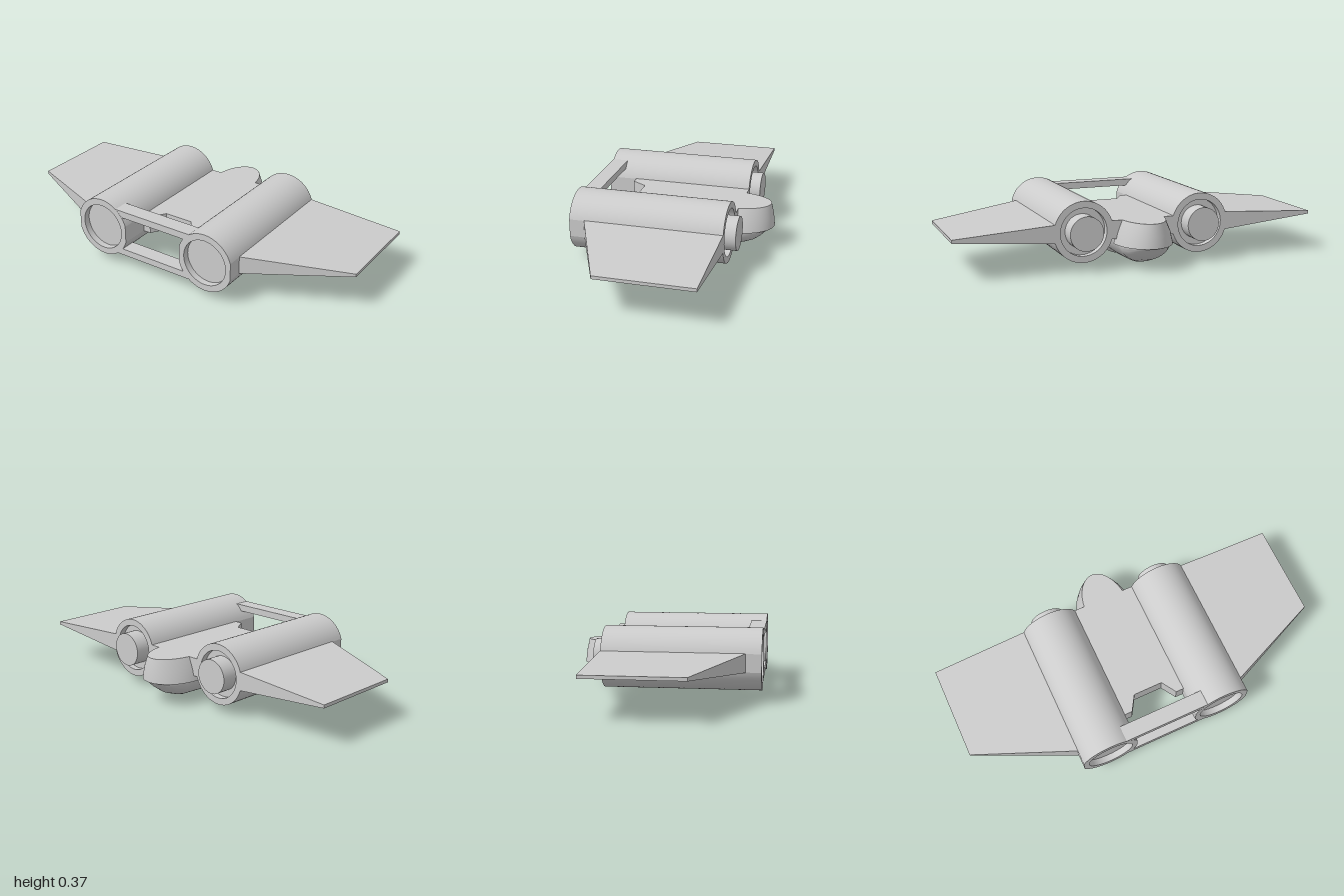
import * as THREE from 'three';
import { toCreasedNormals } from 'three/addons/utils/BufferGeometryUtils.js';

const grey = new THREE.MeshStandardMaterial({ color: 0xcccccc });

function mesh(name, geometry, parent) {
  const m = new THREE.Mesh(geometry, grey);
  m.name = name;
  parent.add(m);
  return m;
}

// Skin closed convex rings of [x, y, z] points, with a cap on each end
function loft(rings, crease = 0.5) {
  const pos = [];
  const n = rings[0].length;
  const tri = (...p) => p.forEach((q) => pos.push(...q));
  for (let i = 0; i + 1 < rings.length; i++) {
    for (let j = 0; j < n; j++) {
      const k = (j + 1) % n;
      const [a, b, c, d] = [rings[i][j], rings[i][k], rings[i + 1][k], rings[i + 1][j]];
      tri(a, b, c);
      tri(a, c, d);
    }
  }
  const last = rings[rings.length - 1];
  for (let j = 1; j + 1 < n; j++) {
    tri(rings[0][0], rings[0][j + 1], rings[0][j]);
    tri(last[0], last[j], last[j + 1]);
  }
  // Signed volume tells whether the corners must be reversed
  let volume = 0;
  const v = [0, 1, 2].map(() => new THREE.Vector3());
  for (let i = 0; i < pos.length; i += 9) {
    v.forEach((p, j) => p.fromArray(pos, i + j * 3));
    volume += v[0].dot(v[1].clone().cross(v[2]));
  }
  if (volume < 0) {
    for (let i = 0; i < pos.length; i += 9) {
      for (let j = 0; j < 3; j++) [pos[i + 3 + j], pos[i + 6 + j]] = [pos[i + 6 + j], pos[i + 3 + j]];
    }
  }
  const g = new THREE.BufferGeometry();
  g.setAttribute('position', new THREE.Float32BufferAttribute(pos, 3));
  return toCreasedNormals(g, crease);
}

const range = (n, f) => Array.from({ length: n }, (_, i) => f(i));

export function createModel() {
  const model = new THREE.Group();
  model.name = 'aircraft';
  const axisY = 0.206, zFront = 0.495, zBack = -0.317;

  for (const s of [1, -1]) {
    const engine = new THREE.Group();
    engine.name = s > 0 ? 'leftEngine' : 'rightEngine';
    engine.position.set(s * 0.325, axisY, 0);
    model.add(engine);

    // Round casing with flattened sides, open at both ends
    const outline = new THREE.Shape(range(64, (i) => {
      const a = (i / 64) * Math.PI * 2;
      return new THREE.Vector2(THREE.MathUtils.clamp(0.16 * Math.cos(a), -0.153, 0.153), 0.16 * Math.sin(a));
    }));
    outline.holes.push(new THREE.Path().absarc(0, 0, 0.125, 0, Math.PI * 2, true));
    const casing = new THREE.ExtrudeGeometry(outline, { depth: zFront - zBack, bevelEnabled: false, curveSegments: 32 });
    casing.translate(0, 0, zBack);
    mesh('engineCasing', toCreasedNormals(casing, 0.25), engine);

    // Core closing the casing, recessed at the intake and the exhaust
    const core = new THREE.CylinderGeometry(0.1255, 0.1255, 0.742, 48).rotateX(Math.PI / 2);
    mesh('engineCore', core, engine).position.z = (zFront + zBack) / 2;

    const nozzle = new THREE.CylinderGeometry(0.09, 0.09, 0.1, 40).rotateX(Math.PI / 2);
    mesh('exhaustNozzle', nozzle, engine).position.z = -0.317;

    // Tapered wing from root to tip
    const section = (x, y0, y1, z) => [[s * x, y0, zBack], [s * x, y1, zBack], [s * x, y1, z], [s * x, y0, z]];
    mesh(s > 0 ? 'leftWing' : 'rightWing',
      loft([section(0.477, 0.158, 0.254, 0.415), section(1, 0.205, 0.222, 0.187)], 0.02), model);
  }

  // Bars joining the two intakes
  for (const [name, y0, y1] of [['upperBar', 0.3, 0.337], ['lowerBar', 0.077, 0.112]]) {
    mesh(name, new THREE.BoxGeometry(0.47, y1 - y0, 0.085), model).position.set(0, (y0 + y1) / 2, 0.452);
  }

  // Centre deck with a notch in its front edge
  const half = [[0.173, zBack], [0.173, 0.34], [0.13, 0.34], [0.08, 0.26]];
  const deckOutline = [...half, ...half.map(([x, z]) => [-x, z]).reverse()];
  const deck = new THREE.ExtrudeGeometry(
    new THREE.Shape(deckOutline.map(([x, z]) => new THREE.Vector2(x, -z))),
    { depth: 0.097, bevelEnabled: false });
  deck.rotateX(-Math.PI / 2).translate(0, 0.157, 0);
  mesh('centreDeck', deck, model);

  // Rounded tail, narrower at the top
  const tailRing = (y, w, z0, length) => range(33, (i) => {
    const a = (i / 32) * Math.PI;
    return [w * Math.cos(a), y, z0 - length * Math.sin(a)];
  });
  mesh('tail', loft([
    tailRing(0.128, 0.156, -0.295, 0.2),
    tailRing(0.19, 0.143, -0.285, 0.204),
    tailRing(0.254, 0.119, -0.27, 0.205),
  ]), model);

  // Belly hull: half-elliptic sections as [z, half width, top, bottom]
  const hullSections = [
    [0.23, 0.1, 0.16, 0.145], [0.03, 0.157, 0.16, 0], [-0.008, 0.157, 0.16, 0],
    [-0.022, 0.145, 0.16, 0.018], [-0.15, 0.145, 0.16, 0.014], [-0.31, 0.145, 0.16, 0.021],
    [-0.34, 0.138, 0.135, 0.03], [-0.39, 0.122, 0.135, 0.048], [-0.43, 0.1, 0.135, 0.077],
    [-0.46, 0.07, 0.135, 0.108], [-0.478, 0.035, 0.135, 0.126],
  ];
  mesh('bellyHull', loft(hullSections.map(([z, w, top, bottom]) => range(33, (i) => {
    const a = (i / 32) * Math.PI;
    return [w * Math.cos(a), top - (top - bottom) * Math.sin(a), z];
  }))), model);

  return model;
}
